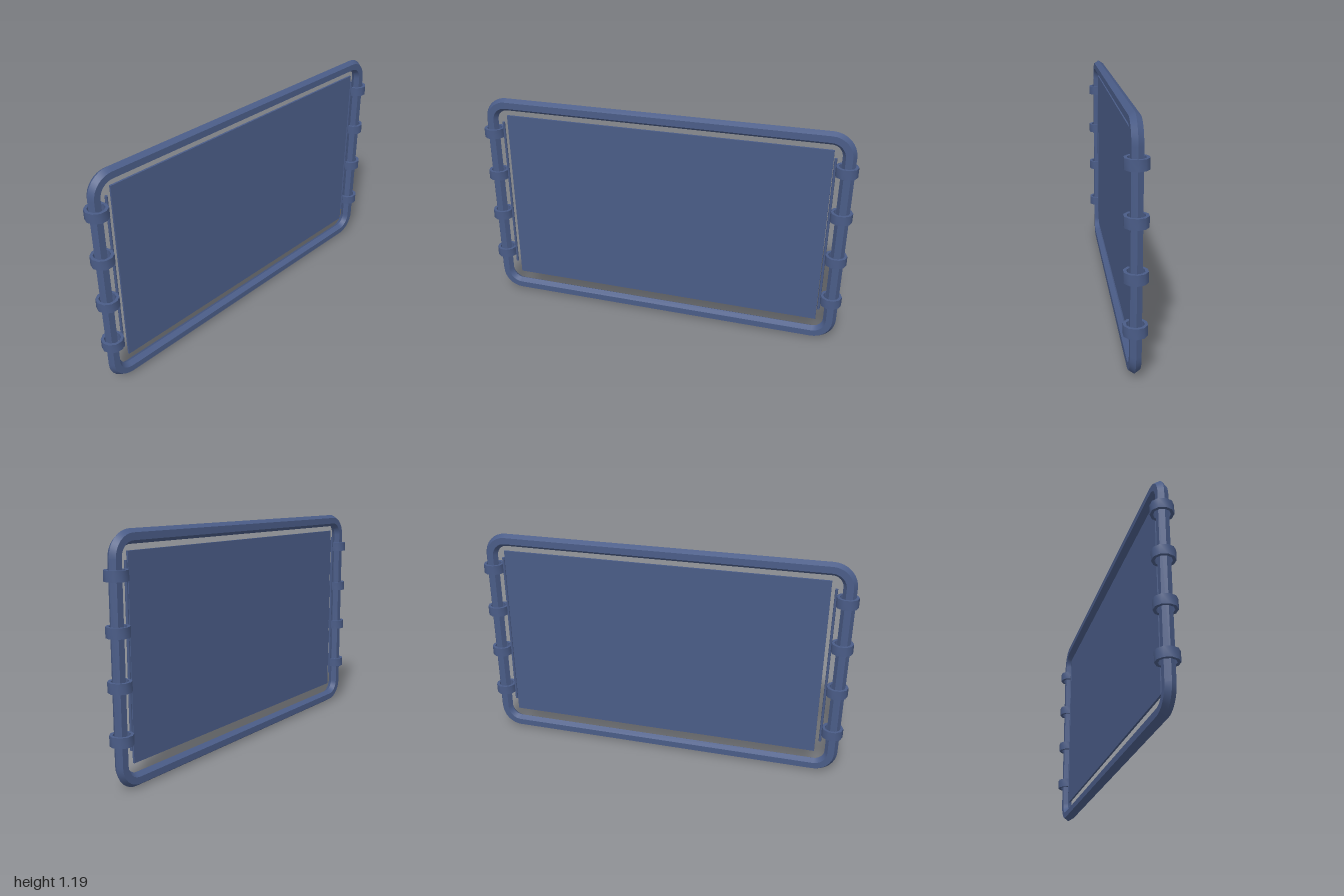
import * as THREE from 'three';
import { toCreasedNormals } from 'three/addons/utils/BufferGeometryUtils.js';

const MID = 0.593; // height of the frame centre

// Rounded rectangle loop, grown by `a` from the tube centre line
function frameLoop(a, z, steps = 8) {
  const pts = [], r = 0.09 + a, cx = 0.949 - 0.09, cy = 0.559 - 0.09;
  [[1, 1], [-1, 1], [-1, -1], [1, -1]].forEach(([sx, sy], q) => {
    for (let i = 0; i <= steps; i++) {
      const t = (q + i / steps) * Math.PI / 2;
      pts.push([sx * cx + r * Math.cos(t), MID + sy * cy + r * Math.sin(t), z]);
    }
  });
  return pts;
}

// Hexagonal tube bent around the rounded rectangle
function frameGeometry() {
  const loops = [];
  for (let k = 0; k < 6; k++) {
    const t = k * Math.PI / 3;
    loops.push(frameLoop(0.034 * Math.cos(t), 0.03 * Math.sin(t)));
  }
  const n = loops[0].length, index = [];
  for (let k = 0; k < 6; k++) {
    for (let i = 0; i < n; i++) {
      const a = k * n + i, b = k * n + (i + 1) % n;
      const c = ((k + 1) % 6) * n + i, d = ((k + 1) % 6) * n + (i + 1) % n;
      index.push(a, b, d, a, d, c);
    }
  }
  const g = new THREE.BufferGeometry();
  g.setAttribute('position', new THREE.Float32BufferAttribute(loops.flat(2), 3));
  g.setIndex(index);
  return toCreasedNormals(g, 0.6);
}

export function createModel() {
  const model = new THREE.Group();
  const blue = new THREE.MeshStandardMaterial({ color: 0x4a5c87 });
  blue.name = 'slate blue';

  const add = (name, geometry, x, y, z = 0) => {
    const mesh = new THREE.Mesh(geometry, blue);
    mesh.name = name;
    mesh.position.set(x, y, z);
    model.add(mesh);
    return mesh;
  };

  add('frame', frameGeometry(), 0, 0);
  add('panel', new THREE.BoxGeometry(1.735, 0.975, 0.01), 0.0075, 0.6025);

  // Hollow collar wrapped around the upright tubes
  const profile = [[0.041, -0.025], [0.056, -0.025], [0.056, 0.025], [0.041, 0.025], [0.041, -0.025]]
    .map(([r, y]) => new THREE.Vector2(r, y));
  const collar = toCreasedNormals(new THREE.LatheGeometry(profile, 10), 0.7);
  const rod = new THREE.CylinderGeometry(0.007, 0.007, 0.87, 8);

  for (const [side, s] of [['left', 1], ['right', -1]]) {
    add(side + 'Rod', rod, s * 0.885, 0.615);
    for (let i = 0; i < 4; i++) {
      add(side + 'Collar' + (i + 1), collar, s * 0.943, 0.248 + i * 0.247).rotation.y = Math.PI / 10;
    }
  }
  return model;
}
